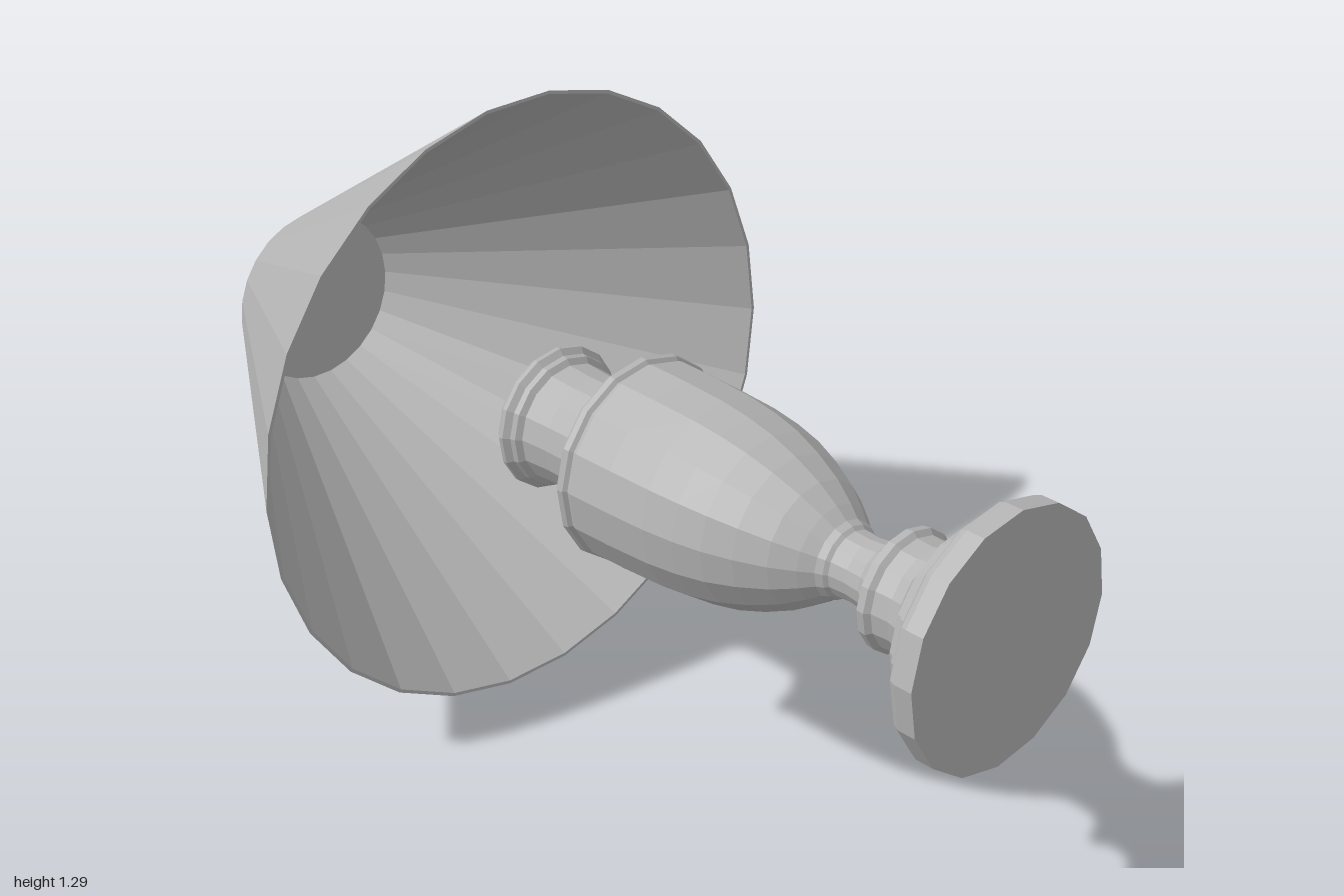
import * as THREE from 'three';

// Flat-shaded turned part; profile is [radius, distance along the axis]
function turned(name, profile, sides, phase, material) {
  const points = profile.map(([r, u]) => new THREE.Vector2(r, u));
  const mesh = new THREE.Mesh(
    new THREE.LatheGeometry(points, sides, THREE.MathUtils.degToRad(phase)), material);
  mesh.name = name;
  return mesh;
}

export function createModel() {
  const grey = new THREE.MeshStandardMaterial({ color: 0xb4b4b4, flatShading: true });
  grey.name = 'plain grey';

  const lamp = new THREE.Group();
  lamp.name = 'tableLamp';

  // Thin-walled cone shade, closed at its narrow end
  lamp.add(turned('shade', [
    [0, -0.987], [0.196, -0.987], [0.648, -0.266],
    [0.641, -0.266], [0.191, -0.98], [0, -0.98],
  ], 26, -1.6, grey));

  // Domed socket, collar and upper neck
  lamp.add(turned('socketNeck', [
    [0, -0.28], [0.035, -0.278], [0.06, -0.262], [0.065, -0.245], [0.09, -0.235],
    [0.11, -0.215], [0.135, -0.2], [0.15, -0.182], [0.15, -0.172], [0.138, -0.162],
    [0.136, -0.15], [0.124, -0.142], [0.12, -0.08], [0.121, -0.02], [0.126, 0],
  ], 16, -4, grey));

  // Urn-shaped body with a raised ring at its shoulder
  lamp.add(turned('body', [
    [0.126, 0], [0.14, 0.008], [0.155, 0.025], [0.175, 0.042], [0.205, 0.052],
    [0.213, 0.062], [0.211, 0.074], [0.203, 0.08], [0.206, 0.09], [0.204, 0.18],
    [0.199, 0.28], [0.19, 0.35], [0.177, 0.41], [0.156, 0.47], [0.128, 0.53],
    [0.098, 0.575], [0.078, 0.6], [0.073, 0.615],
  ], 16, -4, grey));

  // Slim lower neck and small collar
  lamp.add(turned('lowerNeck', [
    [0.073, 0.615], [0.066, 0.622], [0.064, 0.66], [0.068, 0.695], [0.08, 0.715],
    [0.1, 0.728], [0.118, 0.738], [0.12, 0.755], [0.11, 0.764], [0.108, 0.8],
    [0.114, 0.825], [0.13, 0.838],
  ], 16, -4, grey));

  // Stepped round foot
  lamp.add(turned('base', [
    [0.13, 0.838], [0.143, 0.848], [0.16, 0.864], [0.182, 0.872], [0.187, 0.885],
    [0.204, 0.895], [0.21, 0.91], [0.232, 0.92], [0.248, 0.932], [0.253, 0.945],
    [0.253, 0.983], [0, 0.983],
  ], 16, -4, grey));

  // The lamp lies on its side, slightly tilted so the shade rim touches the ground
  lamp.quaternion.setFromUnitVectors(
    new THREE.Vector3(0, 1, 0), new THREE.Vector3(1, 0.065, -0.014).normalize());
  lamp.position.set(0, 0.663, -0.005);

  const model = new THREE.Group();
  model.name = 'lyingLamp';
  model.add(lamp);
  return model;
}
